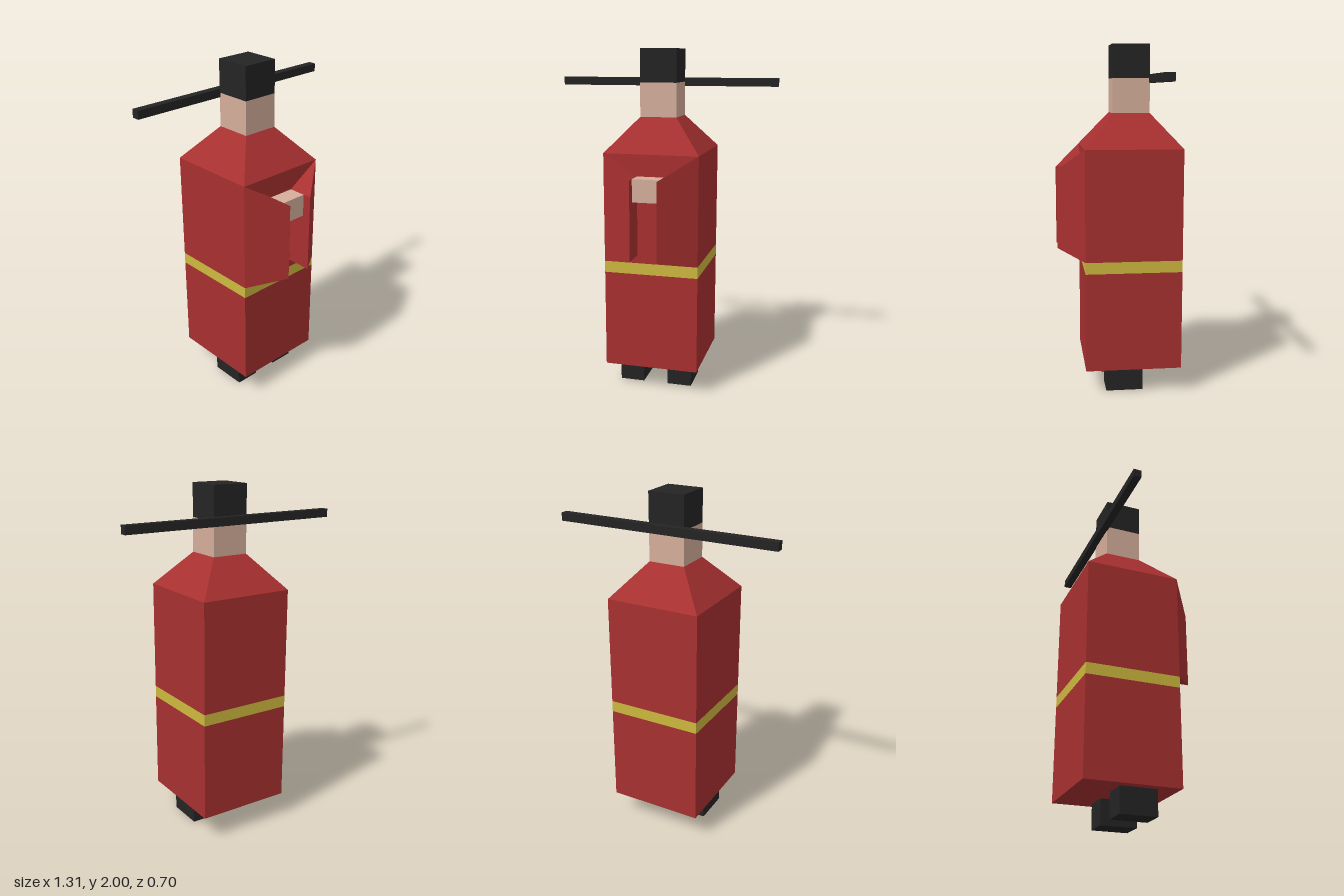
import * as THREE from 'three';
import { ConvexGeometry } from 'three/addons/geometries/ConvexGeometry.js';

export function createModel() {
  const model = new THREE.Group();
  model.name = 'robedFigure';

  const material = (name, color) => {
    const m = new THREE.MeshStandardMaterial({ color, flatShading: true });
    m.name = name;
    return m;
  };
  const red = material('robeRed', 0xa83030);
  const black = material('black', 0x242424);
  const skin = material('skin', 0xd5ae9b);
  const yellow = material('sashYellow', 0xcdb83e);

  const add = (name, geometry, mat) => {
    const mesh = new THREE.Mesh(geometry, mat);
    mesh.name = name;
    model.add(mesh);
    return mesh;
  };
  // Box given by its limits on each axis
  const box = (name, mat, [x0, x1], [y0, y1], [z0, z1]) =>
    add(name, new THREE.BoxGeometry(x1 - x0, y1 - y0, z1 - z0), mat)
      .position.set((x0 + x1) / 2, (y0 + y1) / 2, (z0 + z1) / 2);

  // Robe, with the sash as a flush band
  const robeX = [-0.277, 0.277], robeZ = [-0.352, 0.202];
  box('robeSkirt', red, robeX, [0.147, 0.72], robeZ);
  box('sash', yellow, robeX, [0.72, 0.787], robeZ);
  box('robeTorso', red, robeX, [0.787, 1.42], robeZ);

  // Sloping shoulders: a four-sided frustum turned square to the body
  const shoulders = new THREE.CylinderGeometry(0.107 * Math.SQRT2, 0.277 * Math.SQRT2, 0.195, 4, 1);
  shoulders.rotateY(Math.PI / 4);
  add('shoulders', shoulders, red).position.set(0, 1.5175, -0.075);

  // Head and hair
  const headX = [-0.107, 0.107], headZ = [-0.182, 0.032];
  box('head', skin, headX, [1.615, 1.81], headZ);
  box('hair', black, headX, [1.81, 2], headZ);

  // Long bar behind the head
  box('bar', black, [-0.655, 0.655], [1.785, 1.832], [-0.224, -0.178]);

  // Wedge sleeves, feet
  for (const side of [-1, 1]) {
    const label = side > 0 ? 'left' : 'right';
    const corners = [
      [0.277, 1.42, 0.202], [0.277, 0.787, 0.202],
      [0.078, 1.295, 0.202], [0.078, 0.835, 0.202],
      [0.078, 1.295, 0.352], [0.078, 0.835, 0.352],
    ].map(([x, y, z]) => new THREE.Vector3(side * x, y, z));
    add(label + 'Sleeve', new ConvexGeometry(corners), red);

    const cx = side * 0.147 - 0.003;
    box(label + 'Foot', black, [cx - 0.073, cx + 0.073], [0, 0.147], [-0.135, 0.08]);
  }

  // Joined hands between the sleeves
  box('hands', skin, [-0.078, 0.078], [1.165, 1.295], [0.2, 0.302]);

  return model;
}
